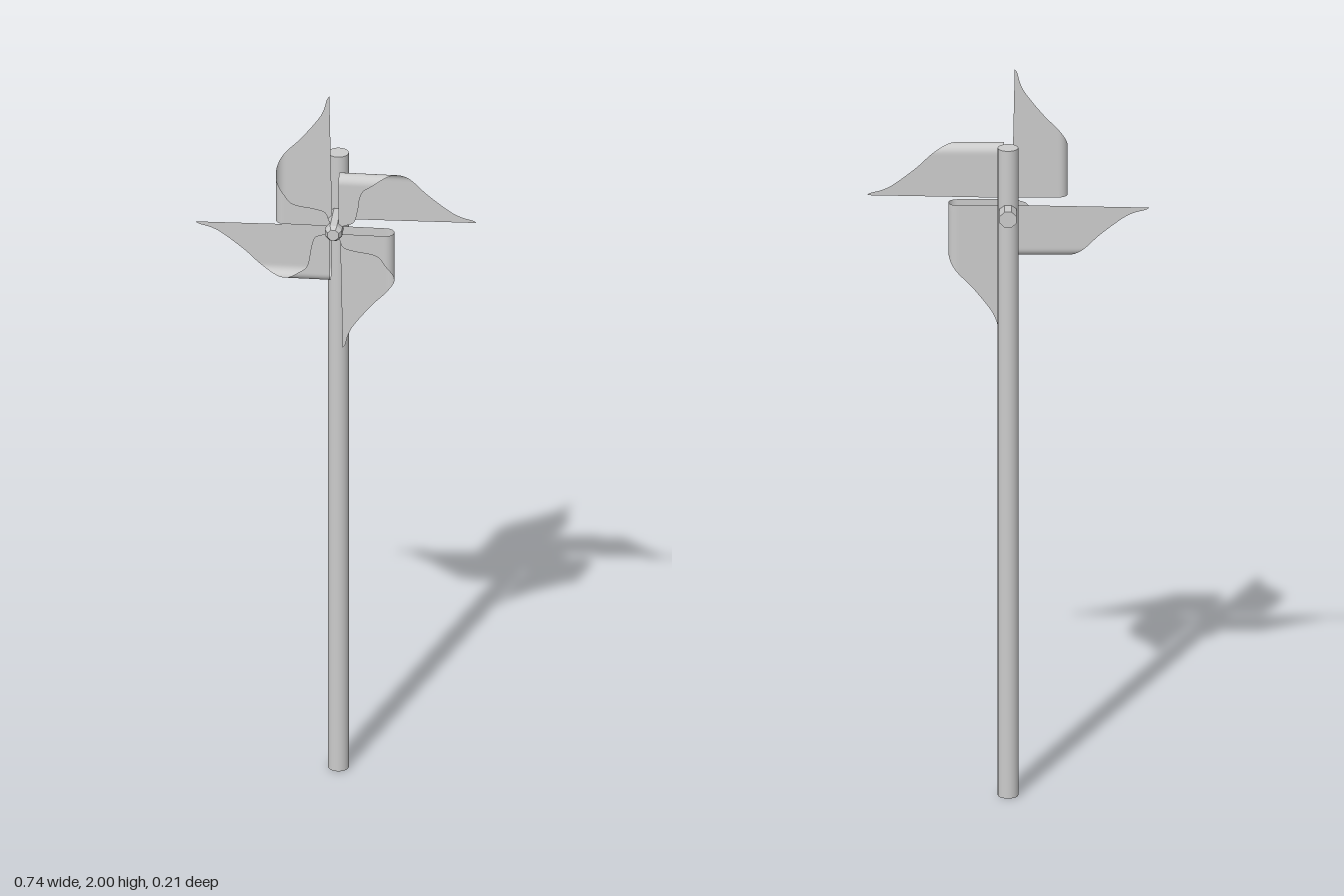
import * as THREE from 'three';

const HUB_Y = 1.632;
const BACK_Z = 0.03, FOLD_R = 0.0225, FOLD_Y = 0.133;
const ARC = Math.PI * FOLD_R;

// Cross-section of the folded sheet: flat back, half-round fold, flat front flap.
function section(s) {
  if (s < FOLD_Y) return [s, BACK_Z];
  if (s < FOLD_Y + ARC) {
    const a = (s - FOLD_Y) / FOLD_R;
    return [FOLD_Y + FOLD_R * Math.sin(a), BACK_Z + FOLD_R * (1 - Math.cos(a))];
  }
  return [2 * FOLD_Y + ARC - s, BACK_Z + 2 * FOLD_R];
}

// One blade pointing along +x, lofted between its straight inner edge and free outer edge.
function bladeGeometry() {
  // Free edge: distance along the section, reach in x
  const edge = new THREE.SplineCurve([
    [0.010, 0.368], [0.019, 0.358], [0.030, 0.328], [0.053, 0.291], [0.095, 0.238],
    [0.133, 0.198], [0.168, 0.148], [0.204, 0.098], [0.221, 0.075], [0.245, 0.066],
    [0.274, 0.062], [0.311, 0.052], [0.322, 0.030], [0.328, 0.014],
  ].map(([s, x]) => new THREE.Vector2(s, x)));
  const rows = 78, cols = 8, inner = 0.011;
  const pos = [], index = [];
  for (let i = 0; i <= rows; i++) {
    const p = edge.getPoint(i / rows);
    const [y, z] = section(p.x);
    // the lower edge rises slightly towards the tip
    const lift = 0.01 * Math.max(0, 1 - p.x / 0.04);
    for (let j = 0; j <= cols; j++) {
      const x = THREE.MathUtils.lerp(inner, p.y, j / cols);
      pos.push(x, y + lift * x / 0.368, z);
      if (i < rows && j < cols) {
        const a = i * (cols + 1) + j, b = a + cols + 1;
        index.push(a, b, a + 1, b, b + 1, a + 1);
      }
    }
  }
  const g = new THREE.BufferGeometry();
  g.setAttribute('position', new THREE.Float32BufferAttribute(pos, 3));
  g.setIndex(index);
  g.computeVertexNormals();
  return g;
}

export function createModel() {
  const model = new THREE.Group();
  model.name = 'pinwheel';
  const smooth = new THREE.MeshStandardMaterial({ color: 0xcccccc });
  const faceted = new THREE.MeshStandardMaterial({ color: 0xcccccc, flatShading: true });
  const sheet = new THREE.MeshStandardMaterial({ color: 0xcccccc, side: THREE.DoubleSide });

  // Stick
  const stick = new THREE.Mesh(new THREE.CylinderGeometry(0.027, 0.027, 1.805, 24), smooth);
  stick.name = 'stick';
  stick.position.set(0, 0.9025, -0.032);
  model.add(stick);

  // Eight-sided axle through the stick, chamfered at the front
  const profile = [[0, -0.107], [0.0237, -0.107], [0.0237, 0.093], [0.016, 0.105], [0, 0.105]]
    .map(([r, h]) => new THREE.Vector2(r, h));
  const axle = new THREE.Mesh(new THREE.LatheGeometry(profile, 8, Math.PI / 8), faceted);
  axle.name = 'axle';
  axle.rotation.x = Math.PI / 2;
  axle.position.y = HUB_Y;
  model.add(axle);

  // Wheel of four folded blades
  const wheel = new THREE.Group();
  wheel.name = 'wheel';
  wheel.position.y = HUB_Y;
  const geometry = bladeGeometry();
  for (let i = 0; i < 4; i++) {
    const blade = new THREE.Mesh(geometry, sheet);
    blade.name = 'blade';
    blade.rotation.z = i * Math.PI / 2;
    wheel.add(blade);
  }
  model.add(wheel);
  return model;
}
